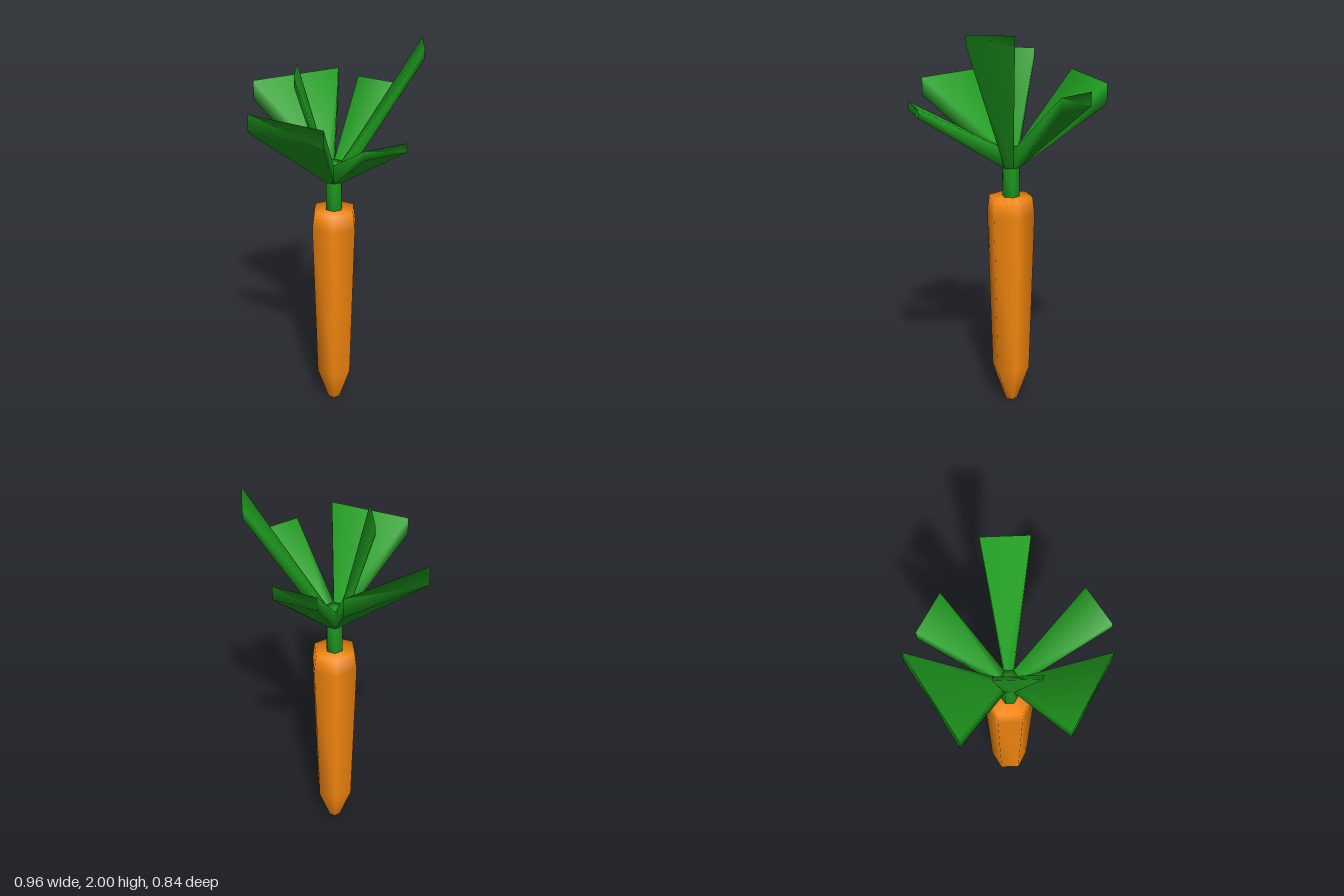
import * as THREE from 'three';
import { mergeVertices } from 'three/addons/utils/BufferGeometryUtils.js';

const STEM_RADIUS = 0.045, LEAF_LOW = 1.29, STEM_TOP = 1.39;

// Six-sided turned shape with corners on the x axis and smooth normals
function hexLathe(profile) {
  const points = profile.map(([r, y]) => new THREE.Vector2(r, y));
  let geometry = new THREE.LatheGeometry(points, 6, Math.PI / 2);
  geometry.deleteAttribute('uv');
  geometry.deleteAttribute('normal');
  geometry = mergeVertices(geometry, 1e-4);
  geometry.computeVertexNormals();
  return geometry;
}

// Leaf widening from one side of the stem to an upright end face
function leafGeometry({ angle, reach, half, low, top, shift = 0 }) {
  const a = THREE.MathUtils.degToRad(angle);
  const d = [Math.cos(a), Math.sin(a)], t = [-d[1], d[0]];
  const positions = [];
  const ring = (dist, h, s, y0, y1) => {
    for (const [side, y] of [[-1, y0], [1, y0], [1, y1], [-1, y1]]) {
      const across = s + side * h;
      positions.push(d[0] * dist + t[0] * across, y, d[1] * dist + t[1] * across);
    }
  };
  ring(STEM_RADIUS * Math.cos(Math.PI / 6), STEM_RADIUS / 2, 0, LEAF_LOW, STEM_TOP);
  ring(reach, half, shift, low, top);
  const quads = [[4, 7, 6, 5], [3, 2, 6, 7], [0, 4, 5, 1], [1, 5, 6, 2], [0, 3, 7, 4]];
  const geometry = new THREE.BufferGeometry();
  geometry.setAttribute('position', new THREE.Float32BufferAttribute(positions, 3));
  geometry.setIndex(quads.flatMap(([p, q, r, s]) => [p, q, r, p, r, s]));
  geometry.computeVertexNormals();
  return geometry;
}

export function createModel() {
  const model = new THREE.Group();
  model.name = 'carrot';
  const orange = new THREE.MeshStandardMaterial({ color: 0xf5870f });
  const green = new THREE.MeshStandardMaterial({ color: 0x1f9c1f });
  const add = (name, geometry, material) => {
    const mesh = new THREE.Mesh(geometry, material);
    mesh.name = name;
    model.add(mesh);
  };

  // Root
  add('root', hexLathe([
    [0, 0], [0.035, 0], [0.1, 0.19], [0.125, 1.05], [0.113, 1.14], [0, 1.14],
  ]), orange);

  // Stem
  add('stem', hexLathe([
    [0, 1.13], [STEM_RADIUS, 1.13], [STEM_RADIUS, LEAF_LOW], [STEM_RADIUS, STEM_TOP], [0, STEM_TOP],
  ]), green);

  // Leaves, one on each side of the stem
  const leaves = {
    leafFront: { angle: 90, reach: 0.42, half: 0.21, low: 1.635, top: 1.725 },
    leafBack: { angle: 270, reach: 0.418, half: 0.113, low: 1.64, top: 1.71 },
    leafFrontLeft: { angle: 30, reach: 0.494, half: 0.112, low: 1.59, top: 1.635 },
    leafBackLeft: { angle: -30, reach: 0.422, half: 0.113, low: 1.95, top: 2 },
    leafBackRight: { angle: 210, reach: 0.413, half: 0.245, low: 1.635, top: 1.735 },
    leafFrontRight: { angle: 150, reach: 0.182, half: 0.112, low: 1.82, top: 1.87, shift: -0.03 },
  };
  for (const [name, leaf] of Object.entries(leaves)) add(name, leafGeometry(leaf), green);

  return model;
}
